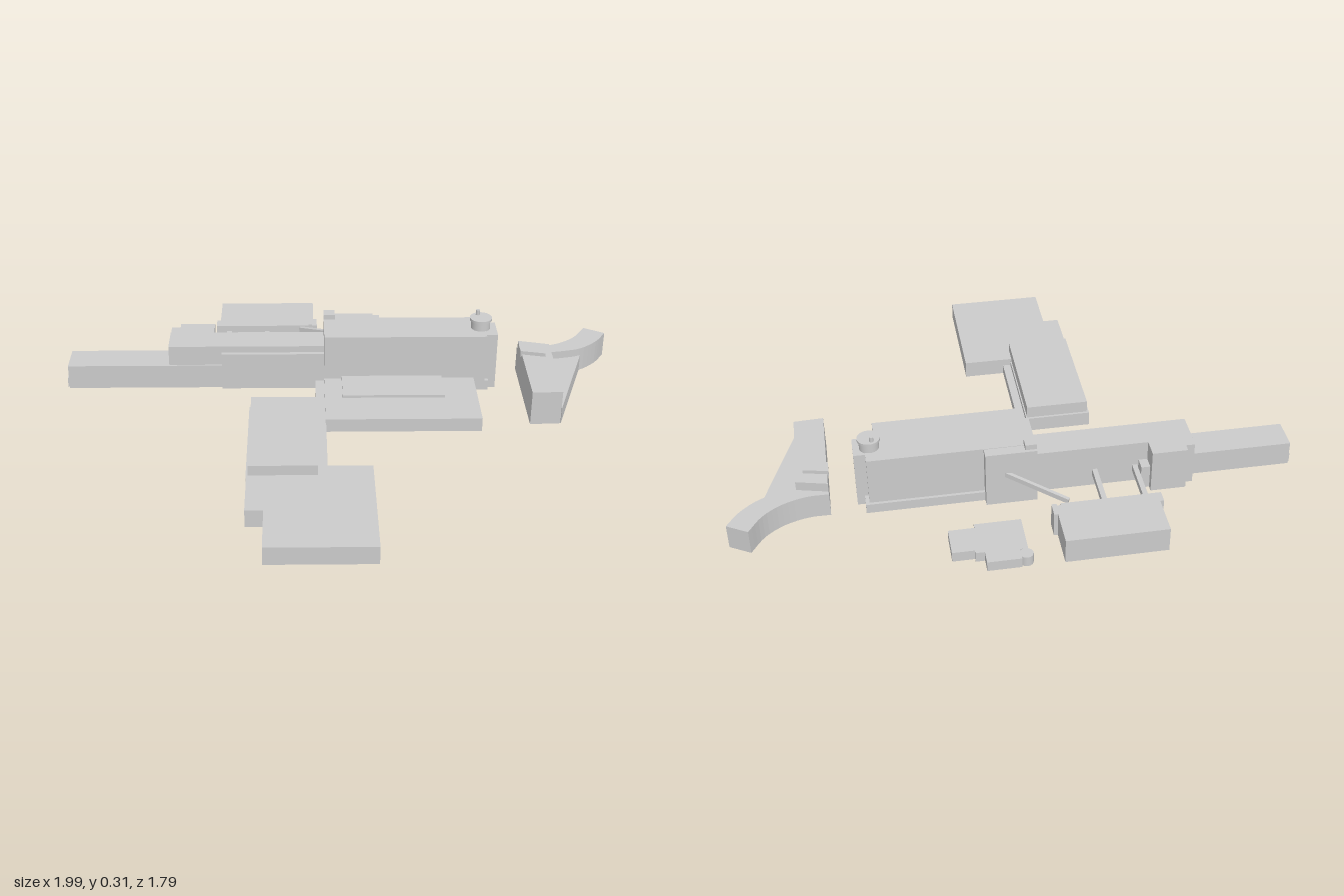
import * as THREE from 'three';

const material = new THREE.MeshStandardMaterial({ color: 0xcccccc, flatShading: true });
const smooth = new THREE.MeshStandardMaterial({ color: 0xcccccc });

// Site grid: u runs along the spine, v across it; returns world [x, z].
const site = (u, v) => [0.05 + 0.61 * u + 0.79 * v, 0.01 + 0.79 * u - 0.61 * v];

export function createModel() {
  const model = new THREE.Group();

  const add = (name, geometry, mat = material) => {
    const mesh = new THREE.Mesh(geometry, mat);
    mesh.name = name;
    model.add(mesh);
    return mesh;
  };
  // Raises a plan outline of world [x, z] corners from y0 to y1.
  const raise = (name, points, y0, y1) => {
    const shape = new THREE.Shape(points.map(([x, z]) => new THREE.Vector2(x, -z)));
    const geometry = new THREE.ExtrudeGeometry(shape, { depth: y1 - y0, bevelEnabled: false });
    return add(name, geometry.rotateX(-Math.PI / 2).translate(0, y0, 0));
  };
  const raiseOnSite = (name, points, y0, y1) => raise(name, points.map(([u, v]) => site(u, v)), y0, y1);
  const block = (name, u0, u1, v0, v1, y1, y0 = 0) =>
    raiseOnSite(name, [[u0, v0], [u1, v0], [u1, v1], [u0, v1]], y0, y1);

  // West buildings and the low passage to the main hall
  block('westHall', -0.285, -0.035, -0.72, -0.24, 0.11);
  block('westHallPlinth', -0.293, -0.03, -0.725, -0.23, 0.06);
  raiseOnSite('westEndHall', [
    [-0.225, -1.147], [0.165, -1.147], [0.165, -0.66], [-0.035, -0.66],
    [-0.035, -0.72], [-0.29, -0.72], [-0.29, -0.935], [-0.225, -0.935],
  ], 0, 0.07);
  block('westPassage', -0.035, 0.002, -0.66, 0.01, 0.04);

  // Low hall beside the spine
  block('lowHall', 0, 0.6, -0.317, 0.01, 0.055);
  block('lowHallRaisedRoof', 0.07, 0.47, -0.155, 0.01, 0.066);

  // Tall spine with its plinth, annex and roof items
  block('spine', 0, 0.645, 0, 0.17, 0.24);
  block('spinePlinth', 0, 0.66, 0, 0.182, 0.04);
  block('spineAnnex', 0, 0.2, 0.165, 0.212, 0.238);
  block('spineEnd', 0.64, 0.69, 0.02, 0.125, 0.238);
  block('roofVent', 0, 0.045, 0.155, 0.2, 0.26, 0.235);
  add('roofTower', new THREE.CylinderGeometry(0.038, 0.038, 0.04, 32).translate(0.497, 0.258, 0.455), smooth);
  add('roofTowerCap', new THREE.CylinderGeometry(0.044, 0.044, 0.01, 32).translate(0.497, 0.28, 0.455), smooth);
  add('roofPipe', new THREE.CylinderGeometry(0.008, 0.008, 0.025, 12).translate(0.51, 0.293, 0.432), smooth);

  // Long rear bar, stepping up towards the spine
  block('rearBar', -1.028, 0.01, 0.03, 0.16, 0.1);
  block('rearBarEndStep', -1.035, -1.02, 0.04, 0.15, 0.04);
  block('rearUpperBlock', -0.622, 0.01, 0.037, 0.16, 0.182);
  block('rearSideStep', -0.41, 0.01, 0.02, 0.045, 0.155);
  block('rearBay', -0.585, -0.445, 0.15, 0.235, 0.182);
  block('rearBayNarrow', -0.62, -0.58, 0.15, 0.205, 0.182);
  block('rearBayLow', -0.45, -0.41, 0.15, 0.21, 0.1);

  // East block and its bridges
  block('eastBlock', -0.433, -0.04, 0.38, 0.583, 0.102);
  block('eastBlockFront', -0.448, -0.06, 0.37, 0.42, 0.102);
  block('eastBlockCorner', -0.045, -0.025, 0.37, 0.43, 0.102);
  for (const u of [-0.395, -0.235]) block('bridge', u - 0.01, u + 0.01, 0.15, 0.385, 0.078, 0.052);

  // Sloping conveyor from the east block up to the spine
  const start = new THREE.Vector3(0.27, 0.095, -0.28);
  const end = new THREE.Vector3(0.295, 0.157, 0.09);
  const conveyor = add('conveyor', new THREE.BoxGeometry(0.014, 0.02, start.distanceTo(end)));
  conveyor.position.copy(start).lerp(end, 0.5);
  conveyor.lookAt(end);

  // Small low pavilion with a round corner
  raiseOnSite('pavilion', [
    [0.09, 0.365], [0.09, 0.53], [0.12, 0.53], [0.12, 0.582], [0.25, 0.582], [0.25, 0.525],
    [0.285, 0.525], [0.285, 0.51], [0.37, 0.51], [0.37, 0.385], [0.27, 0.385], [0.27, 0.365],
  ], 0, 0.042);
  const [cx, cz] = site(0.1, 0.555);
  add('pavilionRoundCorner', new THREE.CylinderGeometry(0.026, 0.026, 0.042, 24).translate(cx, 0.021, cz), smooth);

  // Front building with a wedge and a curved wing
  raise('frontHall', [[0.32, 0.8], [0.655, 0.545], [0.705, 0.66], [0.396, 0.89]], 0, 0.14);
  raise('frontWedge', [[0.396, 0.892], [0.705, 0.65], [0.815, 0.75]], 0, 0.07);
  raise('frontRoofBlock', [[0.56, 0.61], [0.605, 0.575], [0.648, 0.665], [0.602, 0.7]], 0.13, 0.155);
  const inner = new THREE.CatmullRomCurve3([
    [0.668, 0.535], [0.72, 0.6], [0.8, 0.655], [0.89, 0.68], [0.985, 0.673],
  ].map(([x, z]) => new THREE.Vector3(x, 0, z))).getPoints(16).map((p) => [p.x, p.z]);
  const outer = new THREE.CatmullRomCurve3([
    [0.997, 0.765], [0.91, 0.77], [0.813, 0.747], [0.755, 0.705], [0.7, 0.655],
  ].map(([x, z]) => new THREE.Vector3(x, 0, z))).getPoints(16).map((p) => [p.x, p.z]);
  raise('curvedWing', [...inner, ...outer, [0.64, 0.56]], 0, 0.102);

  return model;
}
